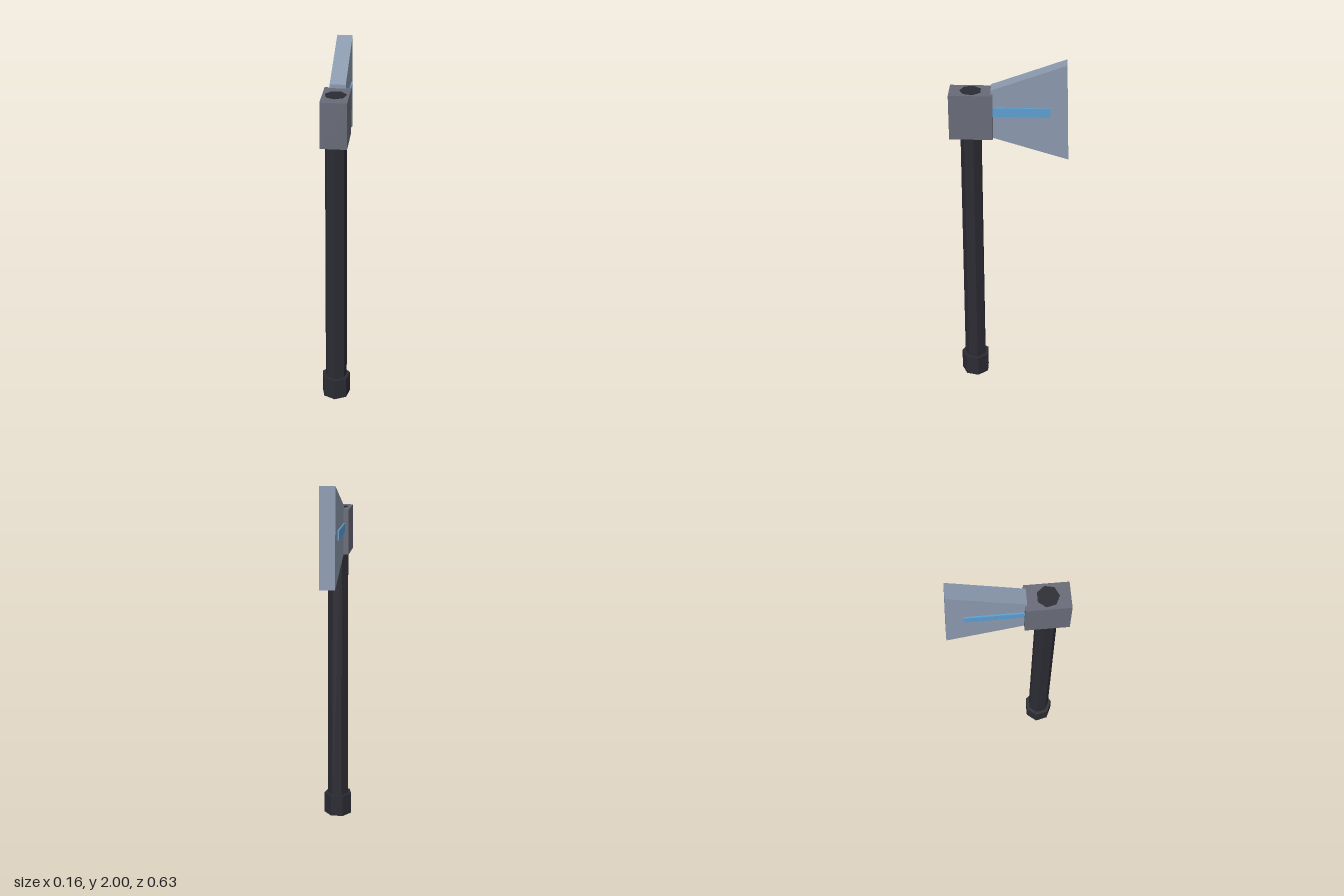
import * as THREE from 'three';

const material = (name, color, flatShading = false) => {
  const m = new THREE.MeshStandardMaterial({ color, flatShading });
  m.name = name;
  return m;
};

export function createModel() {
  const group = new THREE.Group();
  group.name = 'axe';

  const grip = material('dark grip', 0x2b2b33, true);
  const iron = material('iron grey', 0x686b78);
  const steel = material('blue steel', 0x8b99ae);
  const glow = material('bright blue', 0x5c9fd0);

  const add = (name, geometry, mat, x, y, z) => {
    const mesh = new THREE.Mesh(geometry, mat);
    mesh.name = name;
    mesh.position.set(x, y, z);
    group.add(mesh);
  };

  // Seven-sided handle running through the head, with a thicker end cap
  const handleZ = 0.204;
  add('handle', new THREE.CylinderGeometry(0.058, 0.063, 1.837, 7), grip, 0, 0.9185, handleZ);
  add('pommel', new THREE.CylinderGeometry(0.082, 0.082, 0.125, 7), grip, 0, 0.0625, handleZ);

  // Block that holds the blade
  add('head', new THREE.BoxGeometry(0.14, 0.25, 0.23), iron, 0, 1.71, 0.202);

  // Flared blade: side outline extruded across the width
  const outline = new THREE.Shape([
    [-0.098, 1.587], [0.315, 1.463], [0.295, 2.0], [-0.098, 1.855],
  ].map(([x, y]) => new THREE.Vector2(x, y)));
  const width = 0.084;
  const blade = new THREE.ExtrudeGeometry(outline, { depth: width, bevelEnabled: false });
  blade.translate(0, 0, -width / 2).rotateY(Math.PI / 2);
  add('blade', blade, steel, 0, 0, 0);

  // Thin inlay strip on each cheek of the blade
  for (const side of [-1, 1]) {
    add(side > 0 ? 'leftInlay' : 'rightInlay',
      new THREE.BoxGeometry(0.009, 0.05, 0.31), glow, side * 0.0455, 1.735, -0.06);
  }

  return group;
}
